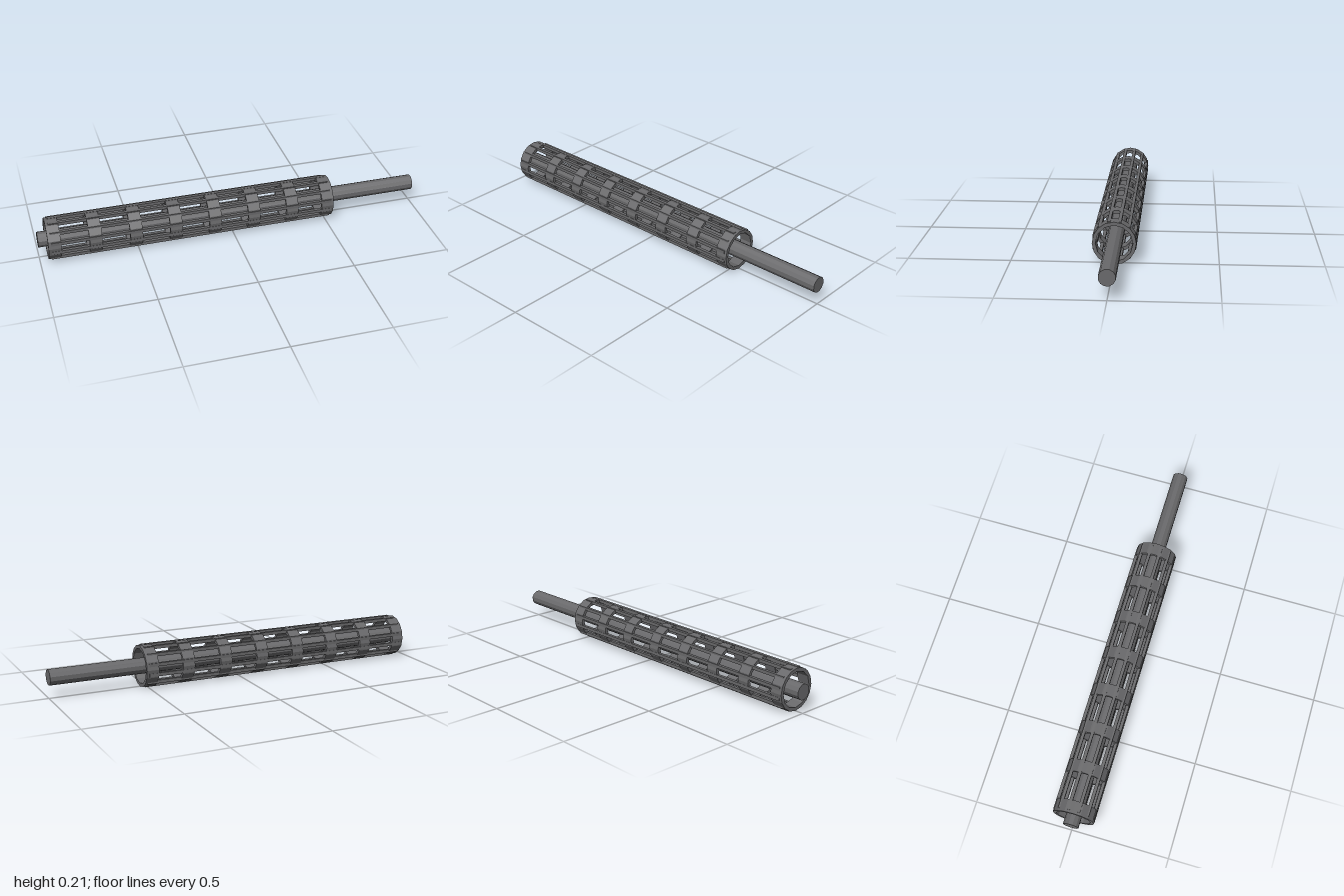
import * as THREE from 'three';

const AXIS_Y = 0.109; // height of the long axis

// Points of a regular polygon with a corner at the top
function polygon(radius, sides) {
  return Array.from({ length: sides }, (_, i) => {
    const a = Math.PI / 2 + (i / sides) * Math.PI * 2;
    return new THREE.Vector2(Math.cos(a) * radius, Math.sin(a) * radius);
  });
}

export function createModel() {
  const group = new THREE.Group();
  group.name = 'cagedRod';
  const steel = new THREE.MeshStandardMaterial({ color: 0x69696b });
  steel.name = 'dark grey steel';
  steel.flatShading = true;

  function add(geometry, name, x, y, z) {
    const mesh = new THREE.Mesh(geometry, steel);
    mesh.name = name;
    mesh.position.set(x, AXIS_Y + y, z);
    group.add(mesh);
  }

  // Central rod, twelve sides with a flat on top
  const rod = new THREE.CylinderGeometry(0.04, 0.04, 2, 12);
  rod.rotateY(Math.PI / 12);
  rod.rotateZ(Math.PI / 2);
  add(rod, 'centralRod', 0, 0, 0);

  // Hoops: sixteen-sided outside, twelve-sided bore
  const hoopWidth = 0.064;
  const outline = new THREE.Shape(polygon(0.106, 16));
  outline.holes.push(new THREE.Path(polygon(0.0895, 12)));
  const hoop = new THREE.ExtrudeGeometry(outline, { depth: hoopWidth, bevelEnabled: false });
  hoop.translate(0, 0, -hoopWidth / 2);
  hoop.rotateY(Math.PI / 2);
  for (let i = 0; i < 7; i++) add(hoop, 'hoop' + (i + 1), -0.925 + i * 0.205, 0, 0);
  add(hoop, 'endHoop', 0.498, 0, 0);

  // Twelve square bars running through the hoops, all kept upright
  const bar = new THREE.BoxGeometry(1.46, 0.0165, 0.0165);
  for (let i = 0; i < 12; i++) {
    const a = ((i + 0.5) / 12) * Math.PI * 2;
    add(bar, 'cageBar' + (i + 1), -0.2135, Math.cos(a) * 0.099, Math.sin(a) * 0.099);
  }

  return group;
}
